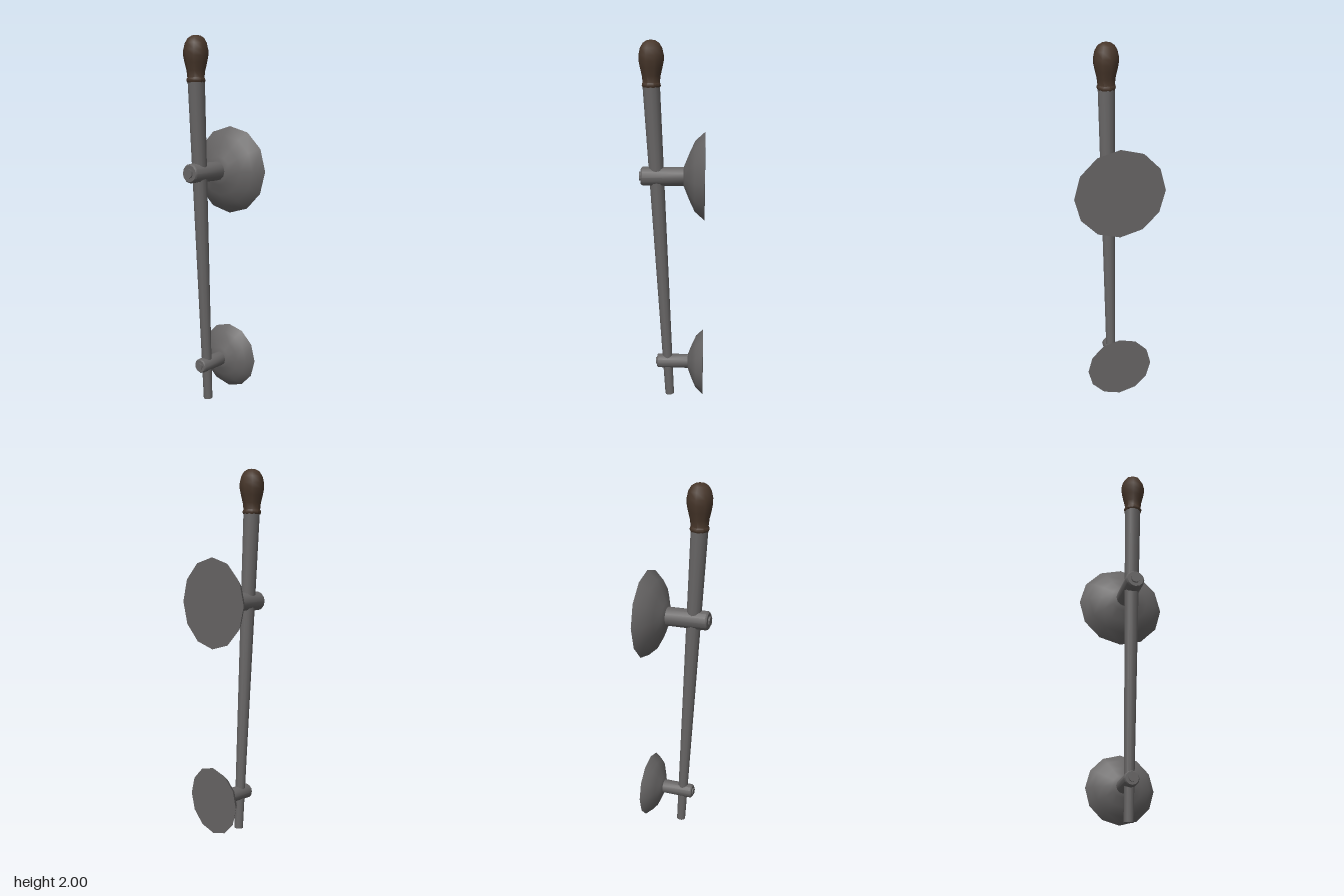
import * as THREE from 'three';
import { toCreasedNormals } from 'three/addons/utils/BufferGeometryUtils.js';

const metal = new THREE.MeshStandardMaterial({ color: 0x676565 });
metal.name = 'grey metal';
const wood = new THREE.MeshStandardMaterial({ color: 0x47362a });
wood.name = 'dark brown wood';

// Turned part from [radius, height] pairs, smooth with crisp edges
function turned(name, profile, sides, material, phiStart = 0) {
  const points = profile.map(([r, y]) => new THREE.Vector2(r, y));
  const geometry = new THREE.LatheGeometry(points, sides, phiStart);
  const mesh = new THREE.Mesh(toCreasedNormals(geometry, 0.75), material);
  mesh.name = name;
  return mesh;
}

// Wall mount: domed plate with a peg, its back at z = -0.178
function wallMount(name, y, scale) {
  const mount = new THREE.Group();
  mount.name = name;
  mount.add(
    turned('domedPlate', [[0, 0], [0.243, 0], [0.195, 0.053], [0.135, 0.081],
      [0.078, 0.104], [0.053, 0.114], [0, 0.114]], 12, metal),
    turned('peg', [[0, 0.1], [0.052, 0.1], [0.052, 0.336], [0.045, 0.345], [0, 0.345]], 12, metal),
    turned('pegCap', [[0, 0.34], [0.025, 0.34], [0.025, 0.355], [0, 0.355]], 10, metal),
  );
  mount.rotation.x = Math.PI / 2;
  mount.scale.setScalar(scale);
  mount.position.set(0, y, -0.178);
  return mount;
}

export function createModel() {
  const model = new THREE.Group();
  model.name = 'wallLever';

  // Tapered shaft leaning forward
  const foot = new THREE.Vector3(0, 0.001, 0.013);
  const head = new THREE.Vector3(0, 1.775, 0.109);
  const axis = head.clone().sub(foot);
  const shaft = turned('shaft', [[0, 0], [0.025, 0], [0.046, axis.length()], [0, axis.length()]], 12, metal);
  shaft.position.copy(foot);
  shaft.quaternion.setFromUnitVectors(new THREE.Vector3(0, 1, 0), axis.normalize());
  model.add(shaft);

  // Bulbous grip with a collar at its base
  const grip = turned('grip', [[0, 0], [0.047, 0], [0.051, 0.008], [0.05, 0.018], [0.046, 0.025],
    [0.05, 0.06], [0.06, 0.1], [0.067, 0.135], [0.067, 0.165], [0.059, 0.2],
    [0.044, 0.225], [0.024, 0.238], [0, 0.242]], 9, wood, -Math.PI / 2);
  grip.position.set(0, 1.758, 0.109);
  model.add(grip);

  // Two mounts, the lower one smaller
  model.add(wallMount('upperMount', 1.285, 1), wallMount('lowerMount', 0.205, 0.76));
  return model;
}
